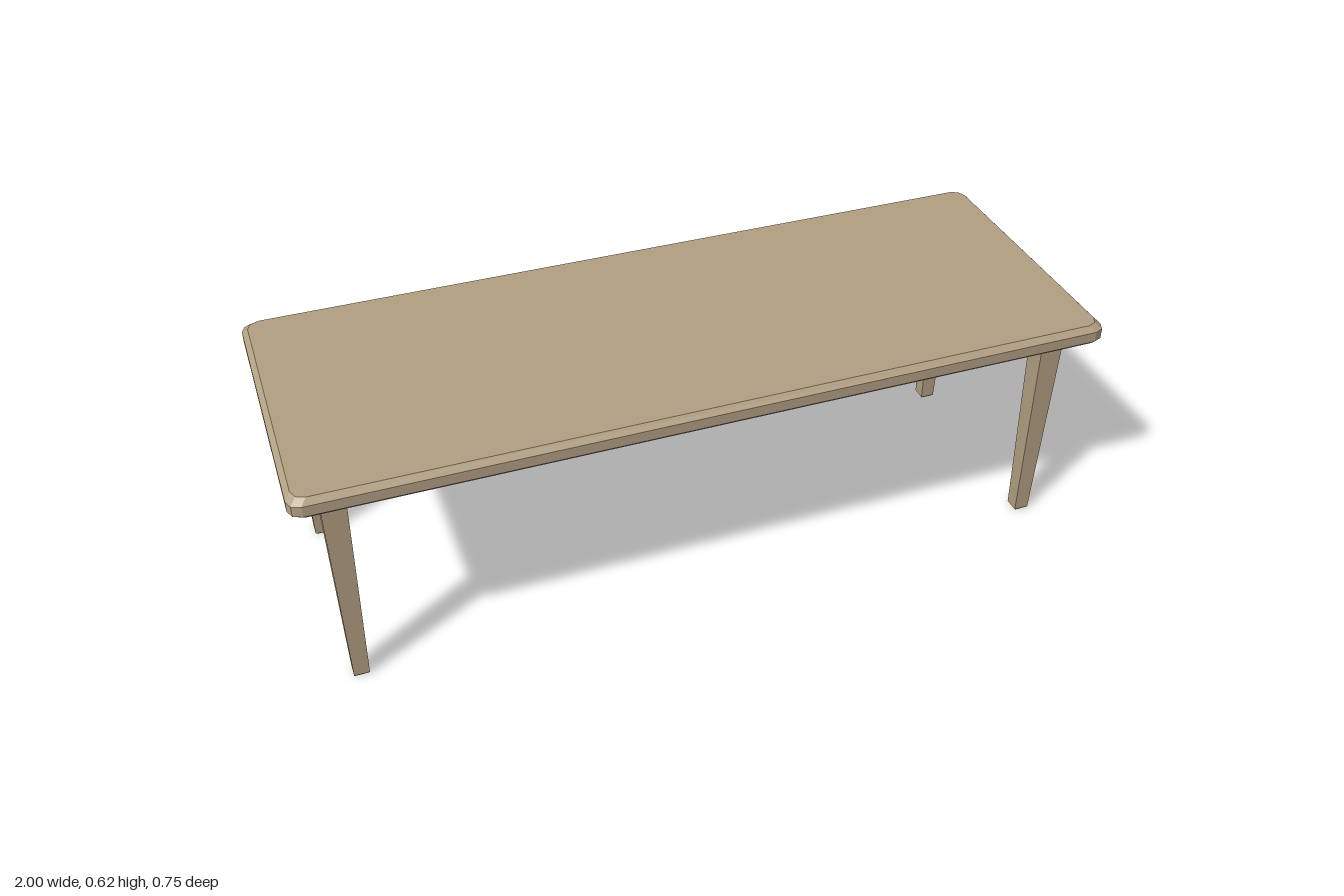
import * as THREE from 'three';

// Outline of a rectangle with faceted round corners, in the xz plane
function outline(hx, hz, r, segs) {
  const pts = [];
  const corners = [[1, 1], [-1, 1], [-1, -1], [1, -1]];
  corners.forEach(([sx, sz], q) => {
    for (let i = 0; i <= segs; i++) {
      const a = (q + (segs ? i / segs : 0.5)) * Math.PI / 2;
      pts.push([
        sx * (hx - r) + (segs ? r * Math.cos(a) : sx * r),
        sz * (hz - r) + (segs ? r * Math.sin(a) : sz * r),
      ]);
    }
  });
  return pts;
}

// Flat-shaded solid through horizontal sections [y, halfX, halfZ], bottom to top
function loft(sections, r = 0, segs = 0) {
  const rings = sections.map(([y, hx, hz]) =>
    outline(hx, hz, r, segs).map(([x, z]) => [x, y, z]));
  const n = rings[0].length;
  const pos = [];
  const tri = (a, b, c) => pos.push(...a, ...b, ...c);
  for (let k = 0; k < rings.length - 1; k++) {
    for (let i = 0; i < n; i++) {
      const j = (i + 1) % n;
      const [a, b, c, d] = [rings[k][i], rings[k][j], rings[k + 1][j], rings[k + 1][i]];
      tri(a, c, b);
      tri(a, d, c);
    }
  }
  const bottom = rings[0], top = rings[rings.length - 1];
  for (let i = 1; i < n - 1; i++) {
    tri(bottom[0], bottom[i], bottom[i + 1]);
    tri(top[0], top[i + 1], top[i]);
  }
  const g = new THREE.BufferGeometry();
  g.setAttribute('position', new THREE.Float32BufferAttribute(pos, 3));
  g.computeVertexNormals();
  return g;
}

export function createModel() {
  const table = new THREE.Group();
  table.name = 'table';
  const wood = new THREE.MeshStandardMaterial({ name: 'wood', color: 0xb3a083 });
  const grey = new THREE.MeshStandardMaterial({ name: 'grey', color: 0xc0bcb7 });

  const add = (name, geometry, material, x = 0, z = 0) => {
    const mesh = new THREE.Mesh(geometry, material);
    mesh.name = name;
    mesh.position.set(x, 0, z);
    table.add(mesh);
  };

  // Bevelled slab with rounded corners
  add('tableTop', loft([
    [0.577, 0.994, 0.367],
    [0.584, 1, 0.373],
    [0.611, 1, 0.373],
    [0.625, 0.986, 0.359],
  ], 0.03, 2), wood);

  // Tapered legs with a small bevel at the foot
  const legX = 0.9, legZ = 0.274;
  const leg = loft([
    [0, 0.016, 0.016],
    [0.004, 0.019, 0.019],
    [0.515, 0.029, 0.029],
    [0.58, 0.029, 0.029],
  ]);
  for (const [sx, side] of [[1, 'Left'], [-1, 'Right']]) {
    for (const [sz, end] of [[1, 'front'], [-1, 'back']]) {
      add(`${end}${side}Leg`, leg, wood, sx * legX, sz * legZ);
    }
  }

  // Rails between the legs, bevelled along the lower edges
  const t = 0.015, bevel = 0.008;
  const longRail = loft([
    [0.515, legX - 0.02, t - bevel], [0.523, legX - 0.02, t], [0.58, legX - 0.02, t],
  ]);
  const shortRail = loft([
    [0.515, t - bevel, legZ - 0.02], [0.523, t, legZ - 0.02], [0.58, t, legZ - 0.02],
  ]);
  add('frontRail', longRail, grey, 0, legZ);
  add('backRail', longRail, grey, 0, -legZ);
  add('leftRail', shortRail, grey, legX, 0);
  add('rightRail', shortRail, grey, -legX, 0);

  return table;
}
